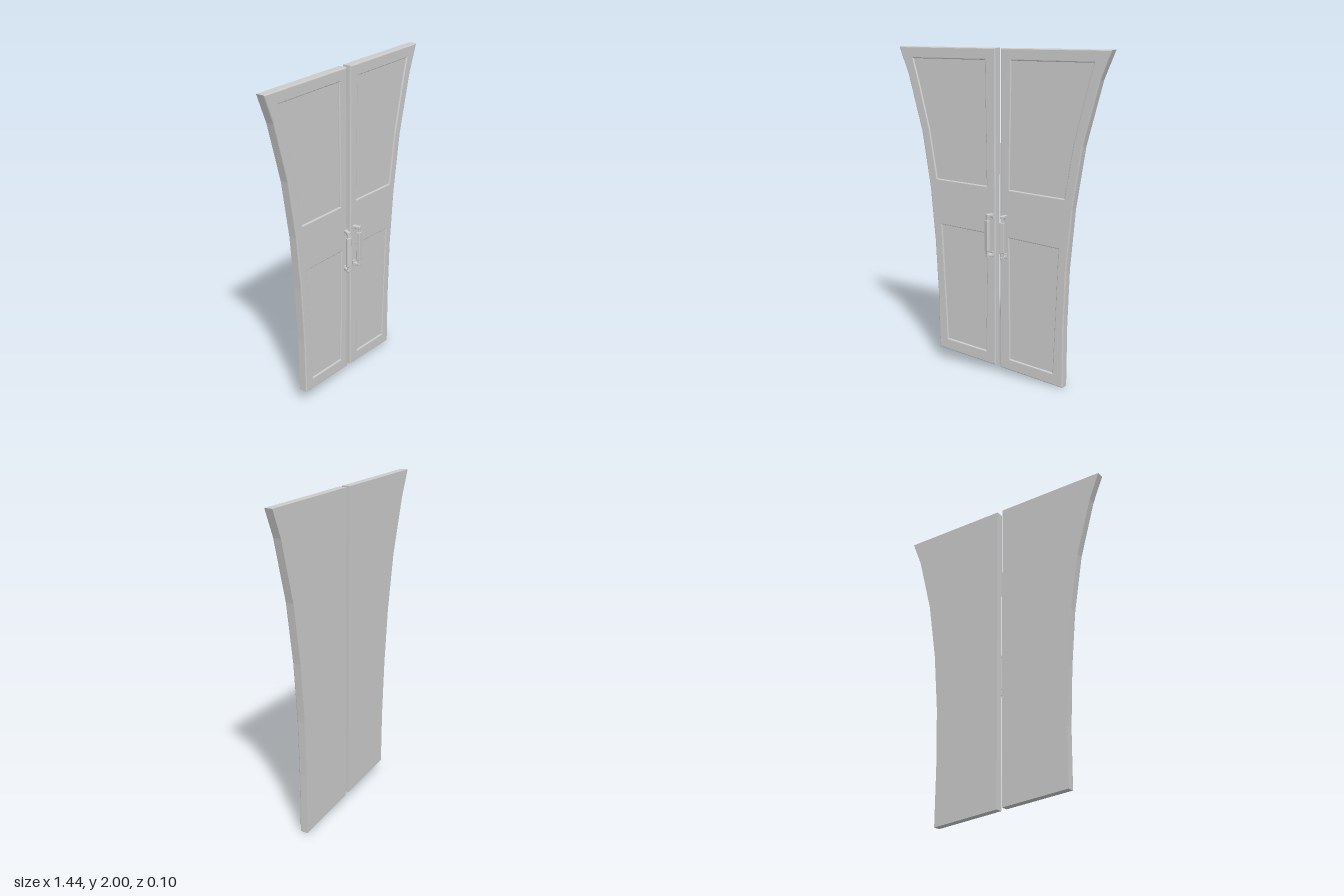
import * as THREE from 'three';
import { RoundedBoxGeometry } from 'three/addons/geometries/RoundedBoxGeometry.js';

const BACK = -0.052, RECESS = -0.01, FRONT = 0;
const material = new THREE.MeshStandardMaterial({ color: 0xcccccc });

const toPoints = (list) => list.map(([x, y]) => new THREE.Vector2(x, y));

// Outlines of each door leaf and of its two sunken panels
const leaves = {
  rightDoor: {
    outline: [[-0.018, 2], [-0.72, 2], [-0.653, 1.836], [-0.555, 1.487], [-0.498, 1.14],
      [-0.466, 0.8], [-0.447, 0.44], [-0.443, 0.088], [-0.018, 0.05]],
    panels: [
      [[-0.614, 1.93], [-0.565, 1.76], [-0.498, 1.5], [-0.445, 1.195], [-0.08, 1.183], [-0.09, 1.93]],
      [[-0.413, 0.905], [-0.375, 0.155], [-0.087, 0.132], [-0.075, 0.89]],
    ],
    handle: { x: -0.036, turn: -0.42 },
  },
  leftDoor: {
    outline: [[0.018, 2], [0.018, 0.045], [0.455, 0.004], [0.455, 0.39], [0.466, 0.735],
      [0.498, 1.1], [0.555, 1.466], [0.653, 1.836], [0.72, 2]],
    panels: [
      [[0.09, 1.93], [0.08, 1.175], [0.445, 1.16], [0.498, 1.48], [0.565, 1.75], [0.614, 1.93]],
      [[0.08, 0.88], [0.09, 0.11], [0.386, 0.085], [0.413, 0.86]],
    ],
    handle: { x: 0.051, turn: 0.1 },
  },
};

function addMesh(parent, name, geometry, x = 0, y = 0, z = 0) {
  const mesh = new THREE.Mesh(geometry, material);
  mesh.name = name;
  mesh.position.set(x, y, z);
  parent.add(mesh);
  return mesh;
}

// Front frame: softened front edges, flat underside where it meets the slab
function frameGeometry(outline, panels) {
  const shape = new THREE.Shape(toPoints(outline));
  shape.holes = panels.map((p) => new THREE.Path(toPoints(p)));
  const bevel = 0.007;
  const geometry = new THREE.ExtrudeGeometry(shape, {
    depth: FRONT - RECESS - bevel, bevelThickness: bevel, bevelSize: bevel,
    bevelOffset: -bevel, bevelSegments: 3,
  });
  const pos = geometry.attributes.position;
  for (let i = 0; i < pos.count; i++) pos.setZ(i, Math.max(0, pos.getZ(i)));
  geometry.computeVertexNormals();
  return geometry;
}

// Pull handle: two arms with turned-in ends carrying a thicker grip
function makeHandle({ x, turn }) {
  const handle = new THREE.Group();
  handle.name = 'handle';
  handle.position.set(x, 0.888, 0);
  handle.rotation.y = turn;
  addMesh(handle, 'grip', new RoundedBoxGeometry(0.032, 0.19, 0.022, 2, 0.004), 0, 0, 0.04);
  for (const side of [-1, 1]) {
    addMesh(handle, 'arm', new RoundedBoxGeometry(0.024, 0.018, 0.052, 2, 0.004), 0, side * 0.124, 0.02);
    addMesh(handle, 'neck', new RoundedBoxGeometry(0.02, 0.05, 0.013, 2, 0.003), 0, side * 0.107, 0.039);
    addMesh(handle, 'mountingPlate', new RoundedBoxGeometry(0.032, 0.03, 0.008, 2, 0.003), 0, side * 0.118, 0.002);
  }
  return handle;
}

export function createModel() {
  const model = new THREE.Group();
  model.name = 'doubleDoor';
  for (const [name, { outline, panels, handle }] of Object.entries(leaves)) {
    const door = new THREE.Group();
    door.name = name;
    const slab = new THREE.ExtrudeGeometry(new THREE.Shape(toPoints(outline)), {
      depth: RECESS - BACK, bevelEnabled: false,
    });
    addMesh(door, 'doorSlab', slab, 0, 0, BACK);
    addMesh(door, 'panelFrame', frameGeometry(outline, panels), 0, 0, RECESS);
    door.add(makeHandle(handle));
    model.add(door);
  }
  return model;
}
